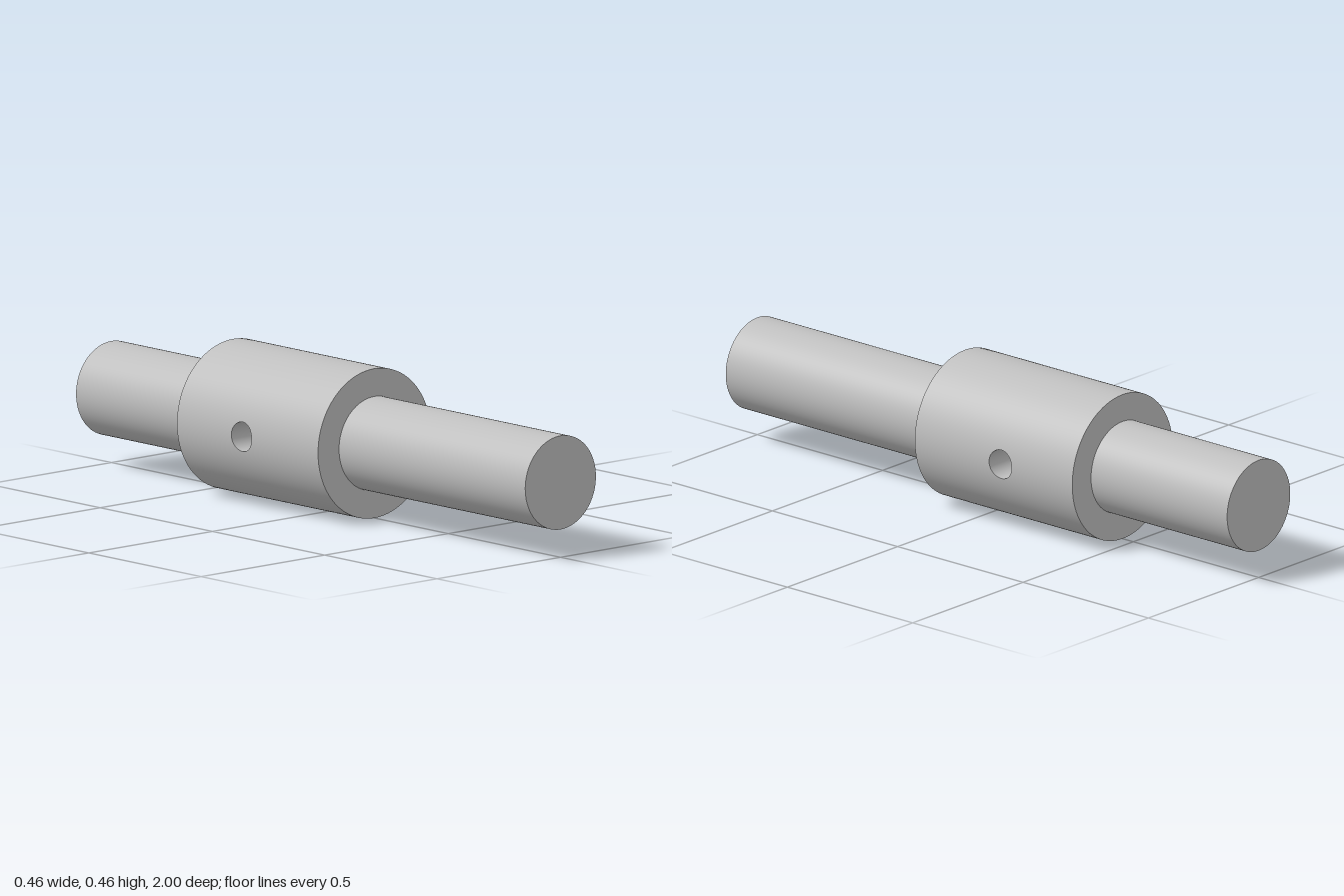
import * as THREE from 'three';

const AXIS_Y = 0.228, COLLAR_R = 0.228, SHAFT_R = 0.143;
const COLLAR_BACK = -0.457, COLLAR_FRONT = 0.171;
const HOLE_R = 0.045, HOLE_Z = -0.17;
const SIDE = 40, AROUND = SIDE * 4;

// Grid surface: point(u, v) gives a position, normal(p) its smooth normal.
function surface(nu, nv, point, normal) {
  const positions = [], normals = [], index = [];
  for (let i = 0; i <= nu; i++) {
    for (let j = 0; j <= nv; j++) {
      const p = point(i, j / nv);
      positions.push(p.x, p.y, p.z);
      normals.push(...normal(p).normalize().toArray());
      if (i < nu && j < nv) {
        const a = i * (nv + 1) + j, d = a + nv + 1;
        index.push(a, a + 1, d + 1, a, d + 1, d);
      }
    }
  }
  const g = new THREE.BufferGeometry();
  g.setAttribute('position', new THREE.Float32BufferAttribute(positions, 3));
  g.setAttribute('normal', new THREE.Float32BufferAttribute(normals, 3));
  g.setIndex(index);
  return g;
}

const holeAngle = (i) => -Math.PI * 0.75 + (i / AROUND) * Math.PI * 2;

// Half of the collar wall: blends from the round hole out to the wall's border.
function collarHalf() {
  const corners = [[-1, 0], [1, 0], [1, 1], [-1, 1], [-1, 0]];
  return surface(AROUND, 32, (i, v) => {
    const k = Math.min(3, Math.floor(i / SIDE)), t = i / SIDE - k;
    const edge = (n) => THREE.MathUtils.lerp(corners[k][n], corners[k + 1][n], t);
    const a = holeAngle(i);
    const theta = THREE.MathUtils.lerp(
      Math.asin(HOLE_R * Math.cos(a) / COLLAR_R), edge(0) * Math.PI / 2, v);
    const z = THREE.MathUtils.lerp(HOLE_Z + HOLE_R * Math.sin(a),
      THREE.MathUtils.lerp(COLLAR_BACK, COLLAR_FRONT, edge(1)), v);
    return new THREE.Vector3(COLLAR_R * Math.cos(theta), COLLAR_R * Math.sin(theta), z);
  }, (p) => new THREE.Vector3(p.x, p.y, 0));
}

// Inner wall of the cross hole, trimmed to the collar's curve at both ends.
function holeWall() {
  return surface(AROUND, 8, (i, v) => {
    const a = holeAngle(i), y = HOLE_R * Math.cos(a);
    const reach = Math.sqrt(COLLAR_R ** 2 - y ** 2);
    return new THREE.Vector3((v * 2 - 1) * reach, y, HOLE_Z + HOLE_R * Math.sin(a));
  }, (p) => new THREE.Vector3(0, -p.y, HOLE_Z - p.z));
}

export function createModel() {
  const model = new THREE.Group();
  model.name = 'pinnedShaft';
  const steel = new THREE.MeshStandardMaterial({ color: 0xbfbfbf });
  steel.name = 'grey steel';
  const add = (name, geometry, z = 0) => {
    const mesh = new THREE.Mesh(geometry, steel);
    mesh.name = name;
    mesh.position.set(0, AXIS_Y, z);
    model.add(mesh);
    return mesh;
  };

  // Shaft ends stop at the collar so the cross hole stays clear
  const shaft = (name, z0, z1) => add(name,
    new THREE.CylinderGeometry(SHAFT_R, SHAFT_R, z1 - z0, 80).rotateX(Math.PI / 2),
    (z0 + z1) / 2);
  shaft('frontShaft', COLLAR_FRONT, 1);
  shaft('backShaft', -1, COLLAR_BACK);

  // Collar wall, end faces and cross hole
  add('collarLeft', collarHalf());
  add('collarRight', collarHalf().rotateZ(Math.PI));
  const ring = () => new THREE.RingGeometry(SHAFT_R, COLLAR_R, 80);
  add('collarFrontFace', ring(), COLLAR_FRONT);
  add('collarBackFace', ring().rotateY(Math.PI), COLLAR_BACK);
  add('crossHole', holeWall());
  return model;
}
